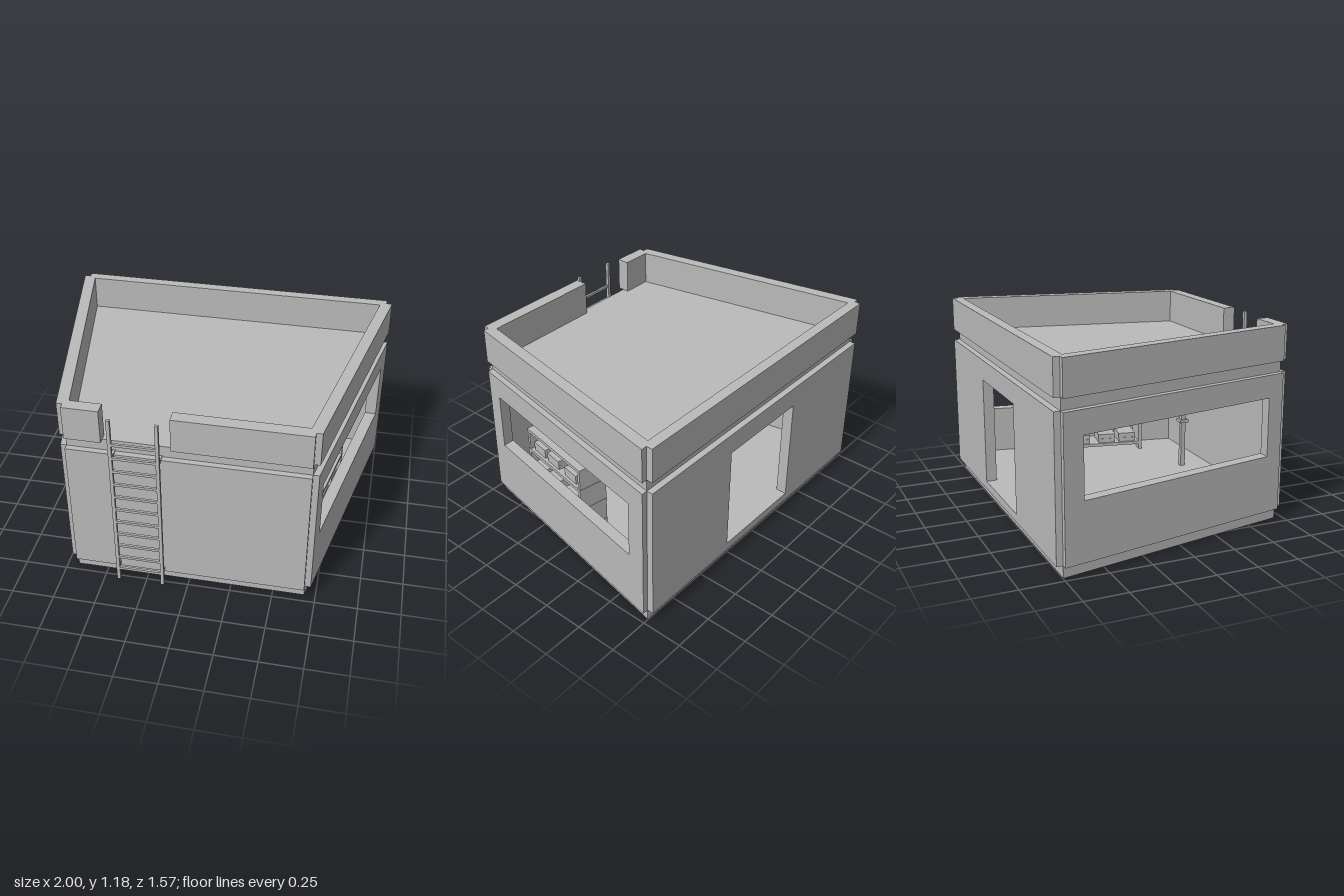
import * as THREE from 'three';

export function createModel() {
  const model = new THREE.Group();
  const grey = new THREE.MeshStandardMaterial({ color: 0xbababa });
  grey.name = 'concrete grey';

  const add = (parent, name, geometry) => {
    const mesh = new THREE.Mesh(geometry, grey);
    mesh.name = name;
    parent.add(mesh);
    return mesh;
  };
  // Box given by its limits on each axis
  const box = (parent, name, x0, x1, y0, y1, z0, z1) => {
    const mesh = add(parent, name, new THREE.BoxGeometry(x1 - x0, y1 - y0, z1 - z0));
    mesh.position.set((x0 + x1) / 2, (y0 + y1) / 2, (z0 + z1) / 2);
    return mesh;
  };
  // Upright prism over a plan outline of [x, z] points
  const prism = (parent, name, plan, y0, y1) => {
    const shape = new THREE.Shape(plan.map(([x, z]) => new THREE.Vector2(x, -z)));
    const geometry = new THREE.ExtrudeGeometry(shape, { depth: y1 - y0, bevelEnabled: false });
    geometry.rotateX(-Math.PI / 2).translate(0, y0, 0);
    return add(parent, name, geometry);
  };

  // The plan narrows towards the front
  const FRONT = 0.70, BACK = -0.748;
  const FLOOR = 0.12, WALL = 0.07, EAVE = 0.90, ROOF = 0.97, TOP = 1.177;
  const sideX = z => 0.72 + 0.28 * (FRONT - z) / (FRONT - BACK);
  const sidePiece = (name, s, y0, y1, z0, z1) => prism(model, name, [
    [s * sideX(z0), z0], [s * sideX(z1), z1],
    [s * (sideX(z1) - 0.07), z1], [s * (sideX(z0) - 0.07), z0],
  ], y0, y1);

  // Recessed core: plinth with the floor, and roof slab
  const core = [[-0.965, BACK], [0.965, BACK], [0.685, FRONT], [-0.685, FRONT]];
  prism(model, 'plinth', core, 0, FLOOR);
  prism(model, 'roofSlab', core, EAVE, ROOF);

  // Side walls with long windows, and side parapets
  for (const s of [-1, 1]) {
    sidePiece('sideWallBelowWindow', s, WALL, 0.415, BACK, FRONT);
    sidePiece('sideWallAboveWindow', s, 0.765, EAVE, BACK, FRONT);
    sidePiece('sideWallFrontPier', s, 0.415, 0.765, 0.60, FRONT);
    sidePiece('sideWallBackPier', s, 0.415, 0.765, BACK, -0.63);
    sidePiece('sideParapet', s, ROOF, TOP, BACK, FRONT);
    // Back wall beside the doorway
    box(model, 'backWallPier', s < 0 ? -0.965 : 0.30, s < 0 ? -0.30 : 0.965, WALL, EAVE, -0.785, -0.72);
  }
  box(model, 'doorLintel', -0.30, 0.30, 0.775, EAVE, -0.785, -0.72);
  box(model, 'doorThreshold', -0.30, 0.30, WALL, FLOOR, -0.785, -0.72);
  box(model, 'backParapet', -0.965, 0.965, ROOF, TOP, -0.785, -0.722);

  // Front wall, and parapet with a gap for the ladder
  box(model, 'frontWall', -0.685, 0.685, WALL, EAVE, 0.66, 0.735);
  box(model, 'frontParapetShort', -0.685, -0.475, ROOF, TOP, 0.66, 0.735);
  box(model, 'frontParapetLong', -0.085, 0.685, ROOF, TOP, 0.66, 0.735);

  // Ladder
  const ladder = new THREE.Group();
  ladder.name = 'ladder';
  model.add(ladder);
  for (const x of [-0.412, -0.147]) {
    box(ladder, 'ladderRail', x - 0.01, x + 0.01, 0.005, 1.16, 0.765, 0.785);
    for (const y of [0.10, 0.90]) {
      box(ladder, 'ladderBracket', x - 0.007, x + 0.007, y - 0.008, y + 0.008, 0.69, 0.77);
    }
  }
  for (let i = 0; i < 11; i++) {
    const y = 0.088 + i * 0.091;
    box(ladder, 'ladderRung', -0.405, -0.155, y - 0.008, y + 0.008, 0.768, 0.782);
  }

  // Storage shelf standing along the left wall
  const shelf = new THREE.Group();
  shelf.name = 'shelf';
  shelf.position.set(0.662, 0, 0.14);
  shelf.rotation.y = -0.191;
  model.add(shelf);
  for (const s of [-1, 1]) {
    box(shelf, 'shelfEnd', -0.09, 0.09, FLOOR, 0.59, s * 0.256 - 0.01, s * 0.256 + 0.01);
  }
  for (const y of [0.165, 0.31, 0.455, 0.595]) {
    box(shelf, 'shelfBoard', -0.092, 0.092, y - 0.01, y + 0.01, -0.268, 0.268);
  }
  for (const y of [0.175, 0.32, 0.465]) {
    for (const z of [-0.15, 0.025, 0.165]) {
      box(shelf, 'storageBox', -0.075, 0.075, y, y + 0.028, z - 0.055, z + 0.055);
      box(shelf, 'storageBoxLid', -0.078, 0.078, y + 0.03, y + 0.06, z - 0.057, z + 0.057);
    }
  }

  // Small stand inside, by the front wall
  box(model, 'standPole', 0.085, 0.115, FLOOR, 0.465, 0.465, 0.495);
  box(model, 'standCollar', 0.07, 0.13, 0.415, 0.435, 0.452, 0.508);

  return model;
}
